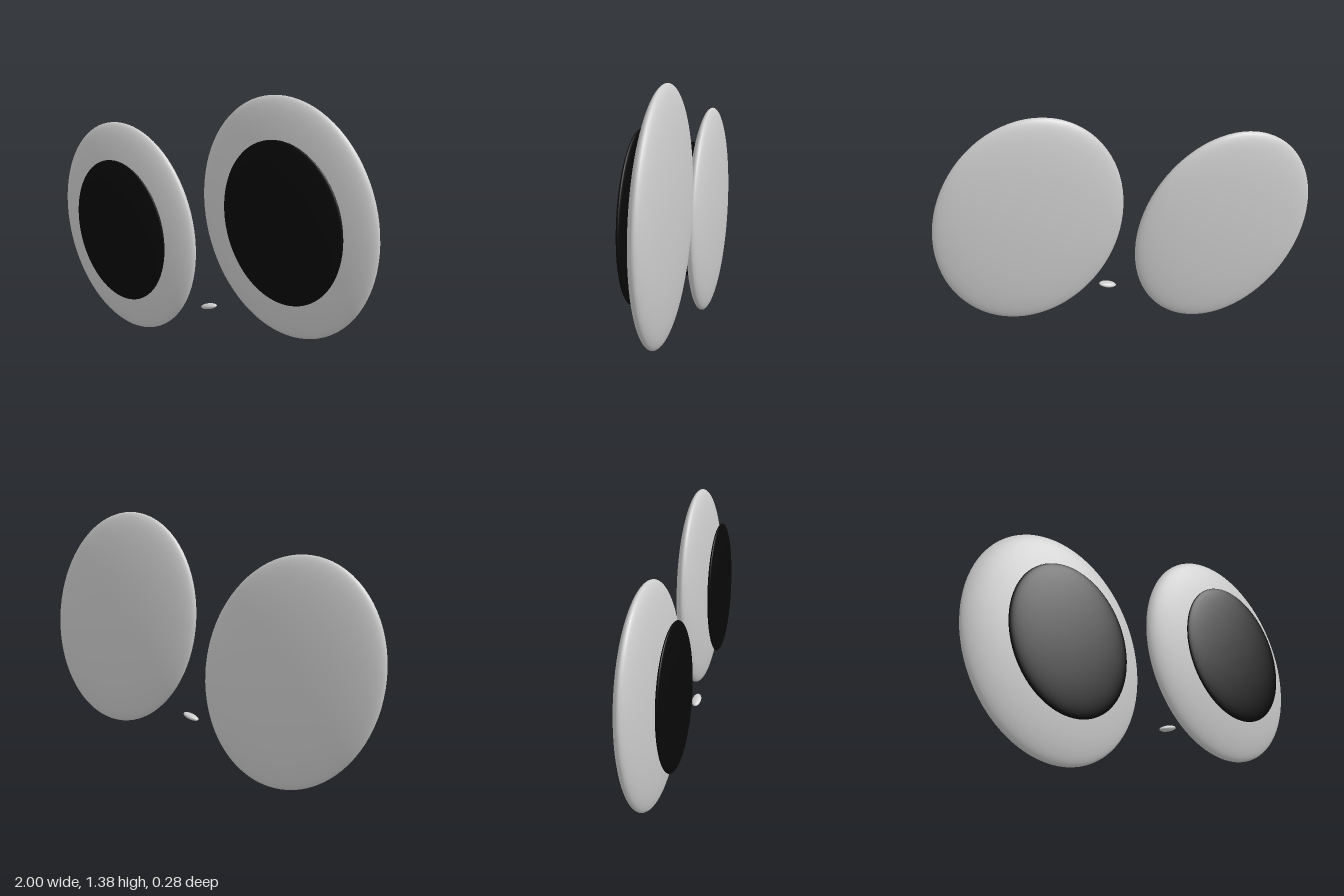
import * as THREE from 'three';

const material = (name, color) => {
  const m = new THREE.MeshStandardMaterial({ color });
  m.name = name;
  return m;
};

export function createModel() {
  const model = new THREE.Group();
  model.name = 'eyes';
  const eyeWhite = material('eyeWhite', 0xcccccc);
  const black = material('black', 0x080808);
  const sphere = new THREE.SphereGeometry(1, 64, 40);

  // Ellipsoid given by centre, half-axes, roll and yaw
  function ellipsoid(name, mat, center, radii, roll, yaw) {
    const mesh = new THREE.Mesh(sphere, mat);
    mesh.name = name;
    mesh.position.set(...center);
    mesh.scale.set(...radii);
    mesh.rotation.set(0, yaw, roll, 'YXZ');
    model.add(mesh);
  }

  // Each eye: a flat tilted disc with a smaller pupil in front
  const roll = 0.288, yaw = -0.05;
  const eyes = [['left', 0.515, 0.788, -0.002], ['right', -0.515, 0.6, -0.055]];
  for (const [side, x, y, z] of eyes) {
    ellipsoid(side + 'Eyeball', eyeWhite, [x, y, z], [0.473, 0.605, 0.082], roll, yaw);
    ellipsoid(side + 'Pupil', black, [x + 0.0275, y + 0.002, z + 0.107], [0.314, 0.4015, 0.0325], roll, yaw);
  }

  // Small bead between the eyes
  ellipsoid('bead', eyeWhite, [0.107, 0.272, 0.047], [0.049, 0.015, 0.025], 0.26, -0.05);

  return model;
}
